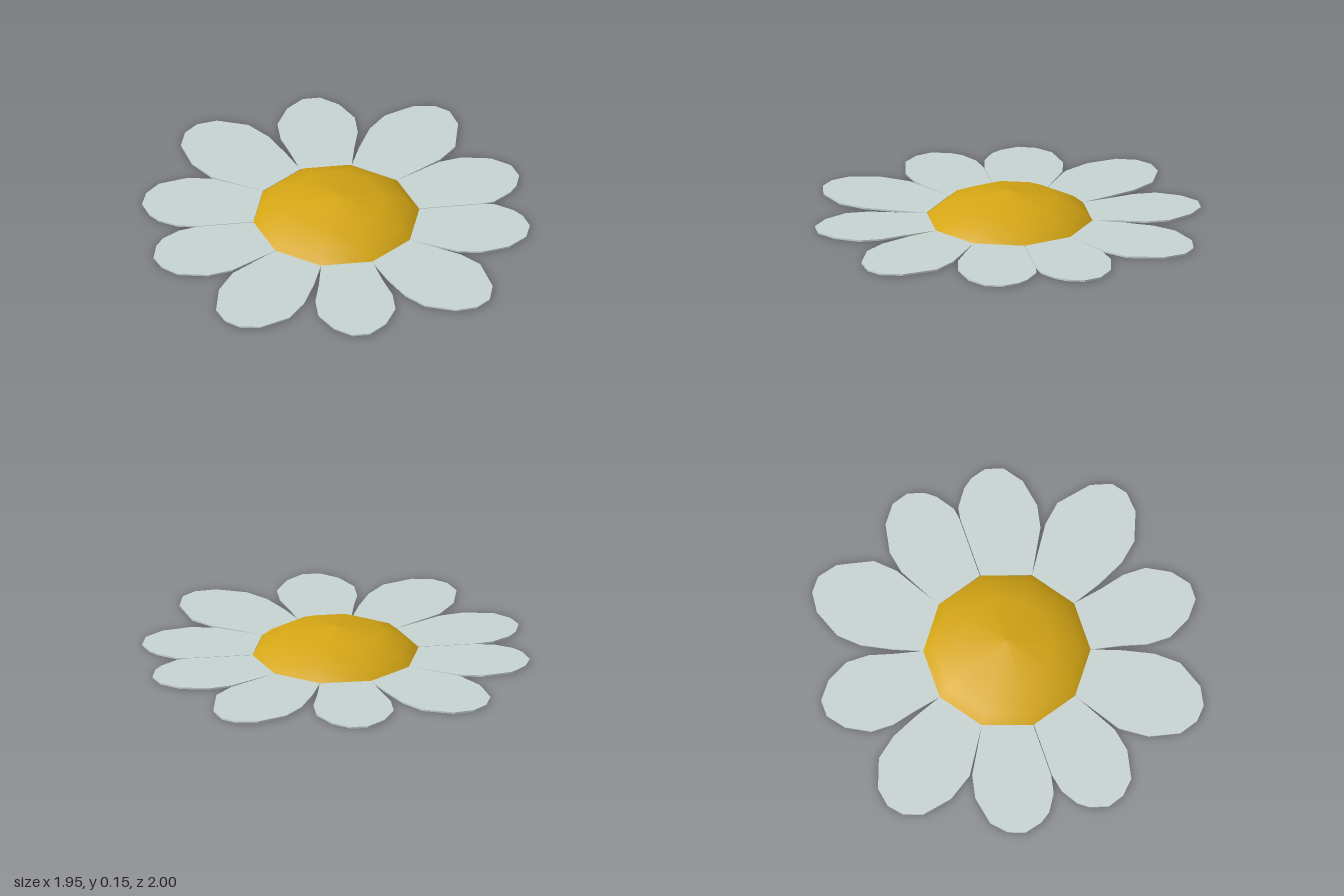
import * as THREE from 'three';

const THICKNESS = 0.009;
const HUB_Z = -0.008;

// Flat petal cut from an outline of [x, z] points
function makePetal(outline, material, name) {
  const shape = new THREE.Shape(outline.map(([x, z]) => new THREE.Vector2(x, z)));
  const geometry = new THREE.ExtrudeGeometry(shape, { depth: THICKNESS, bevelEnabled: false });
  geometry.rotateX(Math.PI / 2);
  geometry.translate(0, THICKNESS, 0);
  const petal = new THREE.Mesh(geometry, material);
  petal.name = name;
  return petal;
}

export function createModel() {
  const flower = new THREE.Group();
  flower.name = 'flower';
  const petalMaterial = new THREE.MeshStandardMaterial({ color: 0xc8d4d2 });
  const hubMaterial = new THREE.MeshStandardMaterial({ color: 0xd4a514, side: THREE.DoubleSide });

  // Petal outlines of the back half, slightly uneven as if hand-cut
  const outlines = {
    MiddlePetal: [[-0.133, -0.417], [-0.165, -0.56], [-0.2, -0.69], [-0.2, -0.81], [-0.135, -0.93],
      [-0.045, -1], [0.045, -1], [0.135, -0.93], [0.2, -0.81], [0.2, -0.69], [0.165, -0.56], [0.133, -0.417]],
    LeftDiagonalPetal: [[0.133, -0.417], [0.19, -0.56], [0.265, -0.71], [0.355, -0.808], [0.51, -0.867],
      [0.62, -0.855], [0.69, -0.8], [0.72, -0.69], [0.68, -0.5], [0.59, -0.405], [0.348, -0.261]],
    RightDiagonalPetal: [[-0.133, -0.417], [-0.19, -0.56], [-0.26, -0.71], [-0.35, -0.82], [-0.505, -0.877],
      [-0.61, -0.86], [-0.68, -0.8], [-0.715, -0.7], [-0.68, -0.54], [-0.59, -0.408], [-0.348, -0.261]],
    LeftSidePetal: [[0.348, -0.261], [0.58, -0.385], [0.7, -0.408], [0.85, -0.38], [0.945, -0.31],
      [0.975, -0.22], [0.95, -0.135], [0.91, -0.083], [0.82, -0.02], [0.76, -0.01], [0.43, -0.01]],
    RightSidePetal: [[-0.348, -0.261], [-0.59, -0.395], [-0.715, -0.42], [-0.87, -0.39], [-0.945, -0.32],
      [-0.977, -0.235], [-0.95, -0.14], [-0.91, -0.085], [-0.82, -0.03], [-0.72, -0.01], [-0.43, -0.01]],
  };
  for (const [name, outline] of Object.entries(outlines)) {
    const mirrorZ = name === 'MiddlePetal' ? 0 : name.includes('Diagonal') ? -0.003 : HUB_Z;
    // Base points follow the hub rim, the rest follows the petal's own mirror line
    const front = outline.map(([x, z]) => {
      const onRim = Math.hypot(x, z - HUB_Z) < 0.44;
      return [x, 2 * (onRim ? HUB_Z : mirrorZ) - z];
    });
    flower.add(makePetal(outline, petalMaterial, 'back' + name));
    flower.add(makePetal(front, petalMaterial, 'front' + name));
  }

  // Hollow ten-sided dome in the middle
  const profile = [[0.43, 0.007], [0.375, 0.053], [0.245, 0.112], [0, 0.152]];
  const dome = new THREE.Mesh(
    new THREE.LatheGeometry(profile.map(([r, y]) => new THREE.Vector2(r, y)), 10, Math.PI / 2),
    hubMaterial
  );
  dome.name = 'centreDome';
  dome.position.z = HUB_Z;
  flower.add(dome);

  return flower;
}
